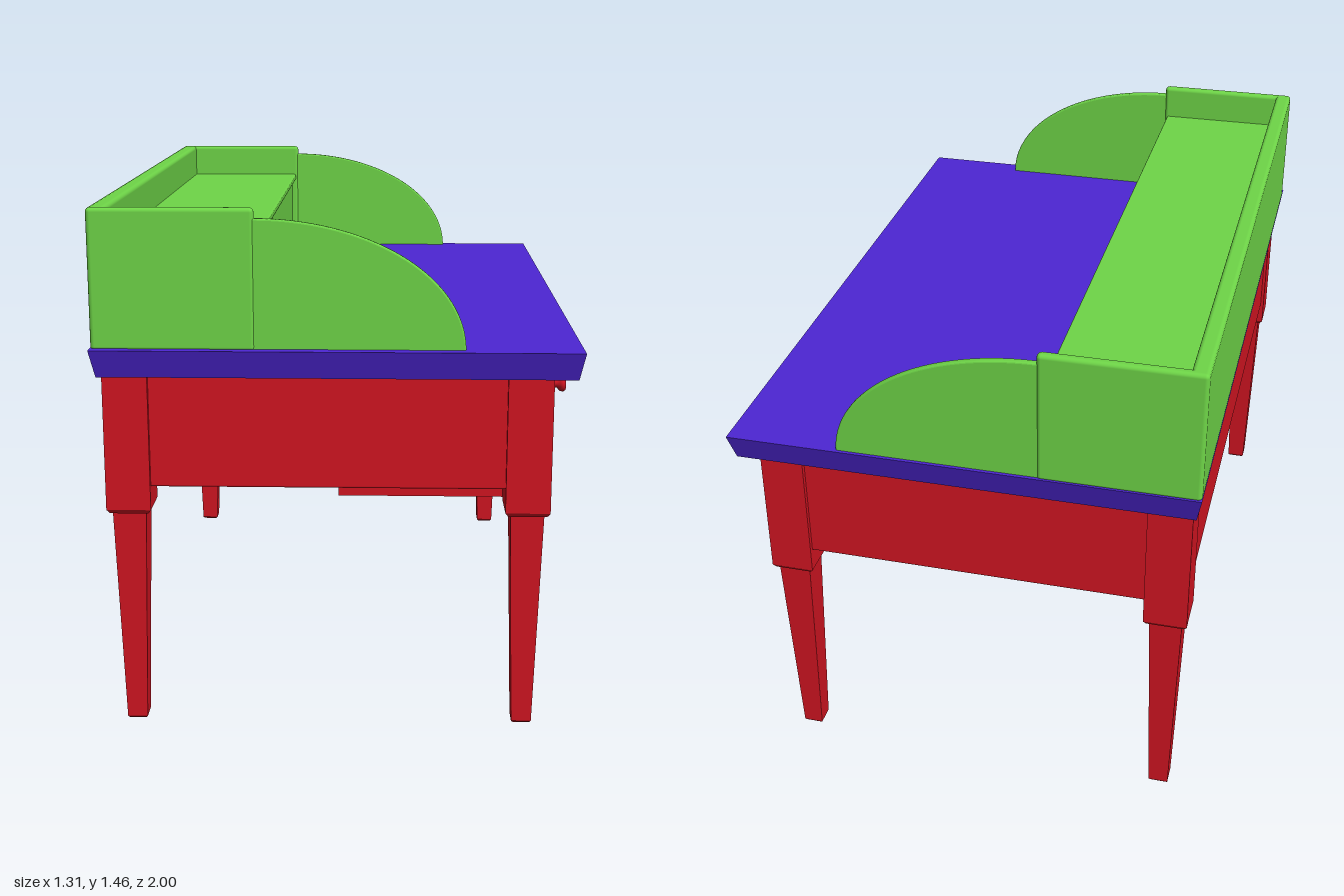
import * as THREE from 'three';
import { RoundedBoxGeometry } from 'three/addons/geometries/RoundedBoxGeometry.js';

const red = new THREE.MeshStandardMaterial({ color: 0xd41522 });
const blue = new THREE.MeshStandardMaterial({ color: 0x4d26d4 });
const green = new THREE.MeshStandardMaterial({ color: 0x6fd648 });

function add(parent, name, geometry, material) {
  const mesh = new THREE.Mesh(geometry, material);
  mesh.name = name;
  parent.add(mesh);
  return mesh;
}

// Box given by its limits on each axis, with optional rounded edges
function block(parent, name, material, [x0, x1], [y0, y1], [z0, z1], radius = 0) {
  const size = [x1 - x0, y1 - y0, z1 - z0];
  const geo = radius ? new RoundedBoxGeometry(...size, 2, radius) : new THREE.BoxGeometry(...size);
  geo.translate((x0 + x1) / 2, (y0 + y1) / 2, (z0 + z1) / 2);
  return add(parent, name, geo, material);
}

// Box whose lower face differs in size from its upper face
function taper(topW, topD, bottomW, bottomD, y0, y1) {
  const geo = new THREE.BoxGeometry(topW, y1 - y0, topD).toNonIndexed();
  const p = geo.attributes.position;
  for (let i = 0; i < p.count; i++) {
    if (p.getY(i) < 0) p.setXYZ(i, p.getX(i) * bottomW / topW, p.getY(i), p.getZ(i) * bottomD / topD);
  }
  geo.translate(0, (y0 + y1) / 2, 0);
  geo.computeVertexNormals();
  return geo;
}

function makeLeg(x, z) {
  const leg = new THREE.Group();
  leg.name = 'leg';
  add(leg, 'legPost', taper(0.122, 0.122, 0.122, 0.122, 0.632, 1.012), red);
  add(leg, 'legCollar', taper(0.122, 0.122, 0.106, 0.106, 0.62, 0.632), red);
  add(leg, 'legTaper', taper(0.092, 0.092, 0.056, 0.056, 0.006, 0.622), red);
  add(leg, 'legFoot', taper(0.056, 0.056, 0.046, 0.046, 0, 0.006), red);
  leg.position.set(x, 0, z);
  return leg;
}

// Front rail with the kneehole arch, drawn across the width and extruded in x
function frontRail() {
  const s = new THREE.Shape();
  s.moveTo(-0.835, 0.64);
  s.lineTo(-0.44, 0.64);
  s.lineTo(-0.44, 0.69);
  s.absellipse(-0.205, 0.69, 0.235, 0.24, Math.PI, Math.PI / 2, true);
  s.absellipse(0.205, 0.69, 0.235, 0.24, Math.PI / 2, 0, true);
  s.lineTo(0.44, 0.64);
  s.lineTo(0.835, 0.64);
  s.lineTo(0.835, 1.012);
  s.lineTo(-0.835, 1.012);
  const geo = new THREE.ExtrudeGeometry(s, { depth: 0.03, bevelEnabled: false, curveSegments: 20 });
  return geo.rotateY(Math.PI / 2).translate(0.54, 0, 0);
}

function knob() {
  const profile = [[0, 0], [0.02, 0], [0.018, 0.008], [0.012, 0.014], [0.012, 0.034],
    [0.022, 0.043], [0.024, 0.052], [0.02, 0.059], [0, 0.06]];
  return new THREE.LatheGeometry(profile.map(([r, y]) => new THREE.Vector2(r, y)), 20).rotateZ(-Math.PI / 2);
}

function makeBase() {
  const base = new THREE.Group();
  base.name = 'base';
  add(base, 'frontRail', frontRail(), red);
  block(base, 'backApron', red, [-0.62, -0.59], [0.695, 1.012], [-0.84, 0.84], 0.006);
  for (const s of [-1, 1]) {
    for (const x of [-0.569, 0.518]) base.add(makeLeg(x, s * 0.893));
    const span = (a, b) => (s > 0 ? [a, b] : [-b, -a]);
    block(base, 'sideApron', red, [-0.52, 0.47], [0.695, 1.012], span(0.91, 0.94), 0.006);
    // Drawer case, drawer front and pull
    block(base, 'drawerCase', red, [0, 0.545], [0.64, 1.012], span(0.44, 0.83));
    block(base, 'drawerFront', red, [0.55, 0.592], [0.77, 1.003], span(0.435, 0.822), 0.007);
    add(base, 'drawerKnob', knob(), red).position.set(0.586, 0.917, s * 0.622);
  }
  base.position.z = -0.005;
  return base;
}

// Quarter-ellipse side wing with a rounded rim
function wing() {
  const s = new THREE.Shape();
  s.moveTo(-0.235, 1.08);
  s.lineTo(0.337, 1.08);
  s.absellipse(-0.215, 1.085, 0.552, 0.342, 0, Math.PI / 2, false);
  s.lineTo(-0.235, 1.427);
  return new THREE.ExtrudeGeometry(s, {
    depth: 0.008, bevelThickness: 0.006, bevelSize: 0.005, bevelSegments: 3, curveSegments: 32,
  }).translate(0, 0, -0.004);
}

function makeHutch() {
  const hutch = new THREE.Group();
  hutch.name = 'hutch';
  block(hutch, 'hutchBack', green, [-0.653, -0.604], [1.08, 1.46], [-0.983, 0.983], 0.012);
  block(hutch, 'hutchShelf', green, [-0.61, -0.224], [1.333, 1.355], [-0.96, 0.96], 0.006);
  block(hutch, 'hutchFront', green, [-0.26, -0.238], [1.08, 1.34], [-0.96, 0.96]);
  for (const s of [-1, 1]) {
    const z = [s * 0.983, s * 0.954].sort((a, b) => a - b);
    block(hutch, 'hutchSide', green, [-0.653, -0.215], [1.08, 1.46], z, 0.012);
    add(hutch, 'sideWing', wing(), green).position.z = s * 0.969;
  }
  hutch.position.z = -0.011;
  return hutch;
}

export function createModel() {
  const desk = new THREE.Group();
  desk.name = 'desk';
  desk.add(makeBase());
  add(desk, 'deskTop', taper(1.308, 2, 1.28, 1.95, 1.01, 1.087), blue);
  desk.add(makeHutch());
  return desk;
}
